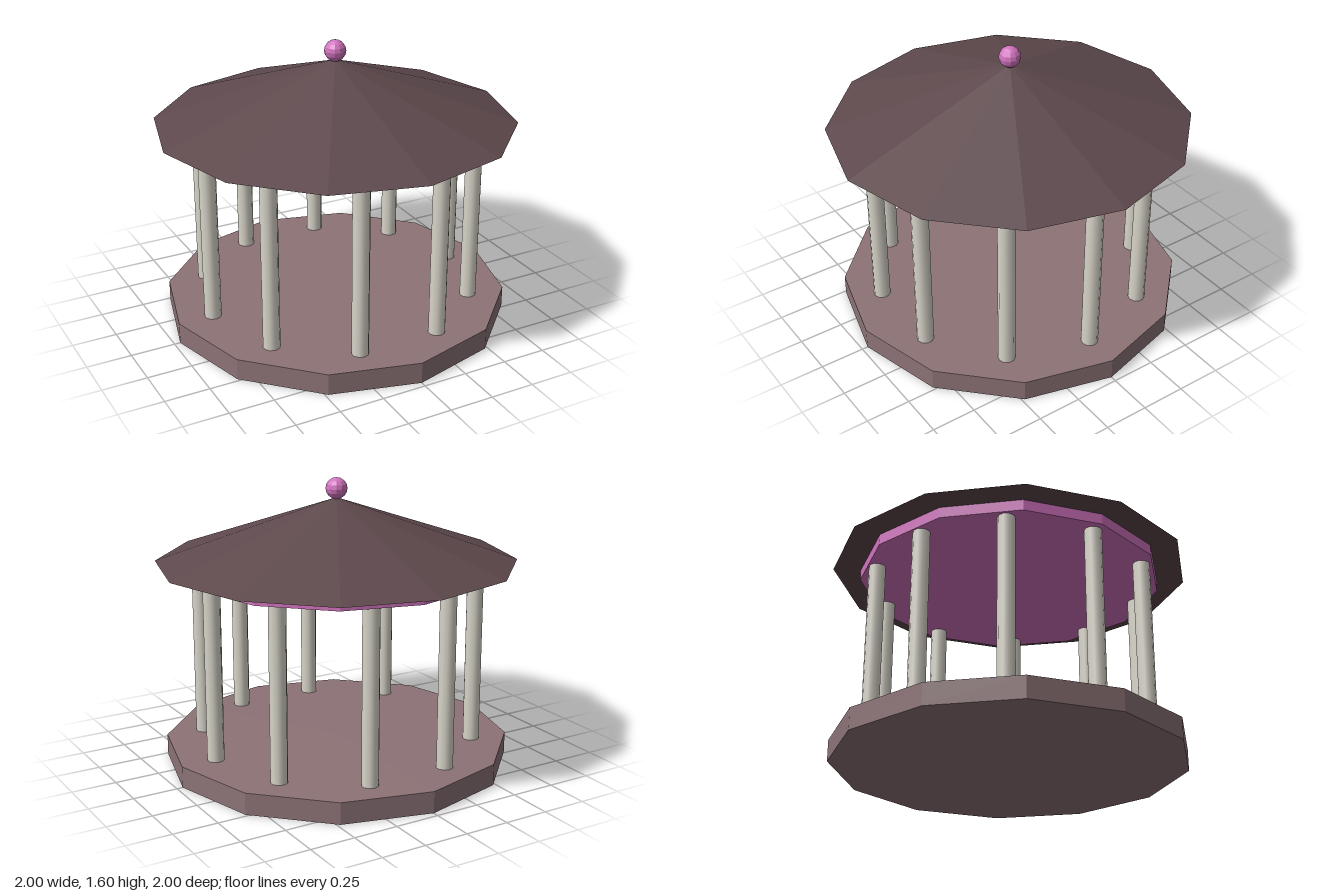
import * as THREE from 'three';

const paint = (name, color, flatShading = false) => {
  const m = new THREE.MeshStandardMaterial({ color, flatShading });
  m.name = name;
  return m;
};

export function createModel() {
  const group = new THREE.Group();
  group.name = 'gazebo';

  const stone = paint('mauve stone', 0x8c7276, true);
  const roofing = paint('dark brown roofing', 0x5e494d, true);
  const pink = paint('pink trim', 0xd173be, true);
  const ivory = paint('ivory columns', 0xd8d5c9);

  const add = (name, geometry, material, x, y, z) => {
    const mesh = new THREE.Mesh(geometry, material);
    mesh.name = name;
    mesh.position.set(x, y, z);
    group.add(mesh);
  };

  // Upright solid standing between two heights
  const drum = (name, rTop, rBottom, y0, y1, sides, material, x = 0, z = 0) =>
    add(name, new THREE.CylinderGeometry(rTop, rBottom, y1 - y0, sides), material, x, (y0 + y1) / 2, z);

  // Twelve-sided floor, ring beam and pointed roof
  drum('floor', 0.967, 0.967, 0, 0.12, 12, stone);
  drum('ringBeam', 0.846, 0.846, 1.08, 1.14, 12, pink);
  add('roof', new THREE.ConeGeometry(1, 0.35, 12), roofing, 0, 1.315, 0);

  // Ten columns in a circle
  for (let i = 0; i < 10; i++) {
    const a = (i / 10) * Math.PI * 2;
    drum('column' + (i + 1), 0.047, 0.047, 0.12, 1.08, 10, ivory, 0.765 * Math.cos(a), 0.765 * Math.sin(a));
  }

  // Ball on the peak
  add('finial', new THREE.SphereGeometry(0.06, 12, 8), pink, 0, 1.54, 0);

  return group;
}
